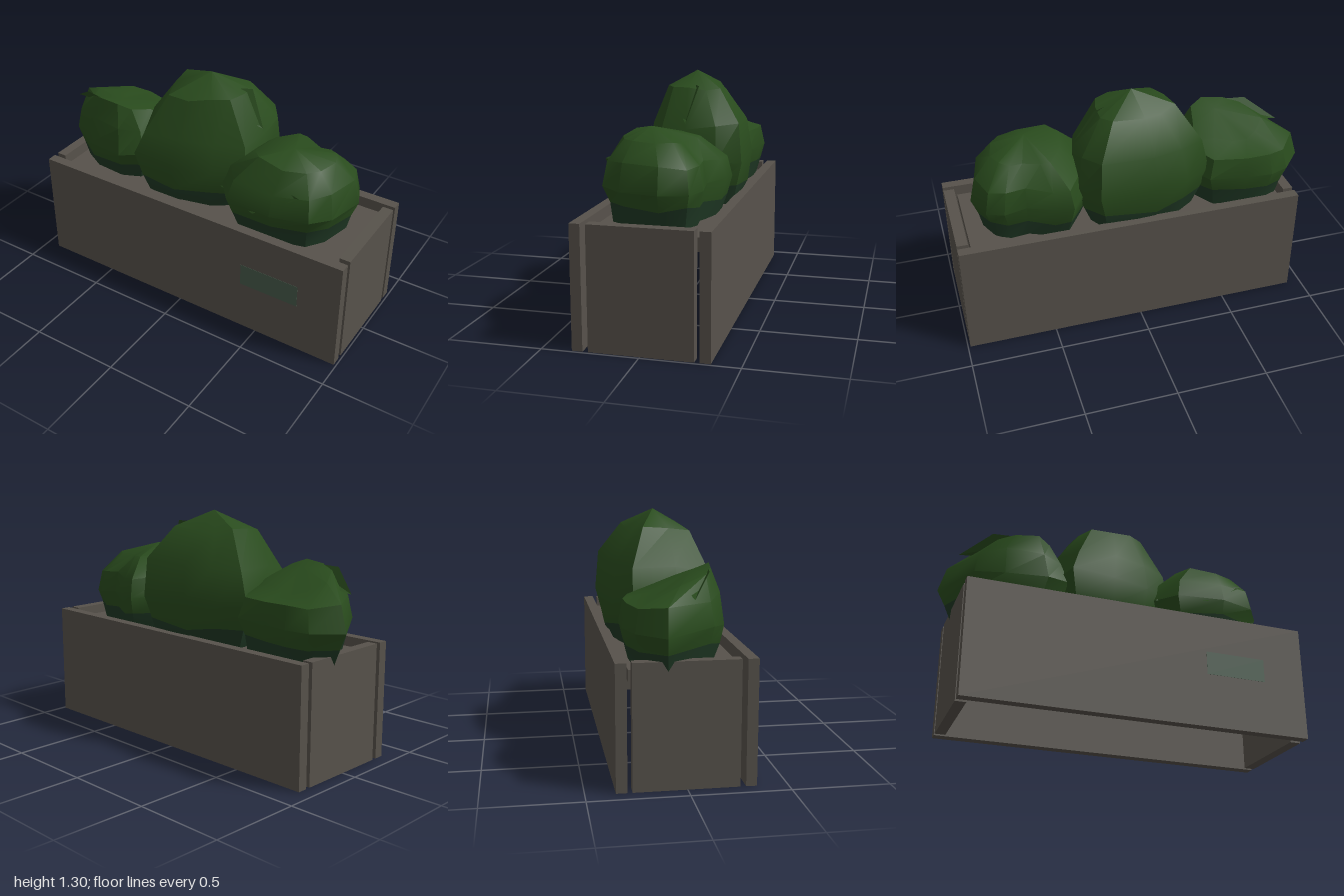
import * as THREE from 'three';
import { toCreasedNormals } from 'three/addons/utils/BufferGeometryUtils.js';

const mat = (name, color) => {
  const m = new THREE.MeshStandardMaterial({ color });
  m.name = name;
  return m;
};

// Bush: an outline of [x, z] points scaled level by level, closed by a peak.
// levels: [y, scale, shiftX, shiftZ, tilt]; tilt raises the front of a level.
// The band below level 1 is the dark group.
function bushGeometry(outline, levels, peak, seed) {
  const rand = () => (seed = (seed * 16807) % 2147483647) / 2147483647 - 0.5;
  const n = outline.length;
  const cx = outline.reduce((s, p) => s + p[0], 0) / n;
  const cz = outline.reduce((s, p) => s + p[1], 0) / n;
  const pos = [], index = [];
  levels.forEach(([y, s, dx, dz, tilt], k) => {
    for (const [x, z] of outline) {
      const w = k === 2 ? s : s * (1 + rand() * 0.06);
      const dy = rand() * 0.03 + tilt * (z - cz) * w;
      pos.push(cx + dx + (x - cx) * w, y + dy, cz + dz + (z - cz) * w);
    }
  });
  pos.push(...peak, cx, levels[0][0], cz);
  const top = levels.length * n;
  for (let i = 0; i < n; i++) index.push(top + 1, i, (i + 1) % n);
  for (let k = 0; k < levels.length - 1; k++) {
    for (let i = 0; i < n; i++) {
      const a = k * n + i, b = k * n + (i + 1) % n;
      index.push(a, a + n, b, b, a + n, b + n);
    }
  }
  for (let i = 0; i < n; i++) index.push(top - n + i, top, top - n + (i + 1) % n);
  const geo = new THREE.BufferGeometry();
  geo.setAttribute('position', new THREE.Float32BufferAttribute(pos, 3));
  geo.setIndex(index);
  const creased = toCreasedNormals(geo, 0.6);
  creased.clearGroups();
  creased.addGroup(0, n * 9, 0);
  creased.addGroup(n * 9, index.length - n * 9, 1);
  return creased;
}

export function createModel() {
  const model = new THREE.Group();
  model.name = 'planter';
  const stone = mat('stone grey', 0x57524b);
  const leaf = mat('leaf green', 0x294b1d);
  leaf.side = THREE.DoubleSide;
  const shade = mat('deep green', 0x1f3824);
  const plate = mat('plate green', 0x475b4b);

  const box = (name, x0, x1, y0, y1, z0, z1, material) => {
    const m = new THREE.Mesh(new THREE.BoxGeometry(x1 - x0, y1 - y0, z1 - z0), material);
    m.position.set((x0 + x1) / 2, (y0 + y1) / 2, (z0 + z1) / 2);
    m.name = name;
    model.add(m);
  };

  // Four separate wall panels with open corners and an open bottom
  box('frontPanel', -0.922, 0.987, 0.014, 0.655, 0.29, 0.345, stone);
  box('backPanel', -0.922, 0.987, 0.014, 0.655, -0.351, -0.295, stone);
  box('rightPanel', -0.922, -0.865, 0.014, 0.655, -0.27, 0.262, stone);
  box('leftPanel', 0.927, 0.987, 0.014, 0.655, -0.27, 0.262, stone);
  // Raised inner tray and the plate on the front
  box('tray', -0.85, 0.912, 0.545, 0.605, -0.28, 0.275, stone);
  box('frontPlate', 0.4, 0.745, 0.31, 0.44, 0.342, 0.3465, plate);

  const bush = (name, ...args) => {
    const m = new THREE.Mesh(bushGeometry(...args), [shade, leaf]);
    m.name = name;
    model.add(m);
  };

  bush('middleBush',
    [[-0.43, -0.2], [-0.28, -0.29], [-0.1, -0.34], [0.22, -0.34], [0.31, -0.22],
      [0.32, -0.04], [0.28, 0.12], [0.12, 0.21], [-0.1, 0.27], [-0.34, 0.27], [-0.41, 0.05]],
    [[0.6, 0.8, 0, 0, 0], [0.7, 0.92, 0, 0, 0], [0.85, 1, 0, 0, 0],
      [1.02, 0.9, 0.015, -0.01, -0.08], [1.215, 0.55, 0.01, 0.01, 0]],
    [-0.03, 1.31, -0.04], 17);

  bush('rightBush',
    [[-1, -0.11], [-0.88, -0.25], [-0.77, -0.3], [-0.62, -0.3], [-0.42, -0.26],
      [-0.29, -0.05], [-0.34, 0.19], [-0.47, 0.25], [-0.7, 0.22], [-0.85, 0.14]],
    [[0.6, 0.8, 0, 0, 0], [0.7, 0.9, 0, 0, 0], [0.79, 1, 0, 0, 0],
      [0.92, 0.89, 0, 0, 0.08], [1, 0.55, 0.03, 0.06, 0.35]],
    [-0.56, 1.04, 0.08], 41);

  bush('leftBush',
    [[0.22, -0.12], [0.36, -0.32], [0.45, -0.31], [0.6, -0.24], [0.72, -0.25], [0.81, -0.2],
      [0.87, -0.06], [0.82, 0.15], [0.74, 0.26], [0.54, 0.315], [0.27, 0.29], [0.17, 0.17]],
    [[0.6, 0.82, 0, 0, 0], [0.7, 0.91, 0, 0, 0], [0.79, 1, 0, 0, 0],
      [0.91, 0.91, 0, 0, 0], [1.015, 0.58, 0.01, 0.03, 0.08]],
    [0.54, 1.07, 0.06], 73);

  // Loose leaf flaps standing off the bushes: four corners each
  const flaps = [
    [0.17, 0.78, 0.19, 0.44, 0.77, 0.31, 0.68, 0.92, 0.26, 0.4, 0.94, 0.2],
    [-0.92, 0.945, 0.03, -0.76, 1.055, 0.13, -0.5, 1.05, 0.17, -0.64, 0.99, 0],
    [0.05, 1.24, -0.03, 0.19, 1.24, -0.1, 0.29, 1.05, -0.05, 0.13, 1.17, 0.06],
  ];
  for (const corners of flaps) {
    const g = new THREE.BufferGeometry();
    g.setAttribute('position', new THREE.Float32BufferAttribute(corners, 3));
    g.setIndex([0, 1, 2, 0, 2, 3]);
    const flat = g.toNonIndexed();
    flat.computeVertexNormals();
    const m = new THREE.Mesh(flat, leaf);
    m.name = 'leafFlap';
    model.add(m);
  }
  return model;
}
